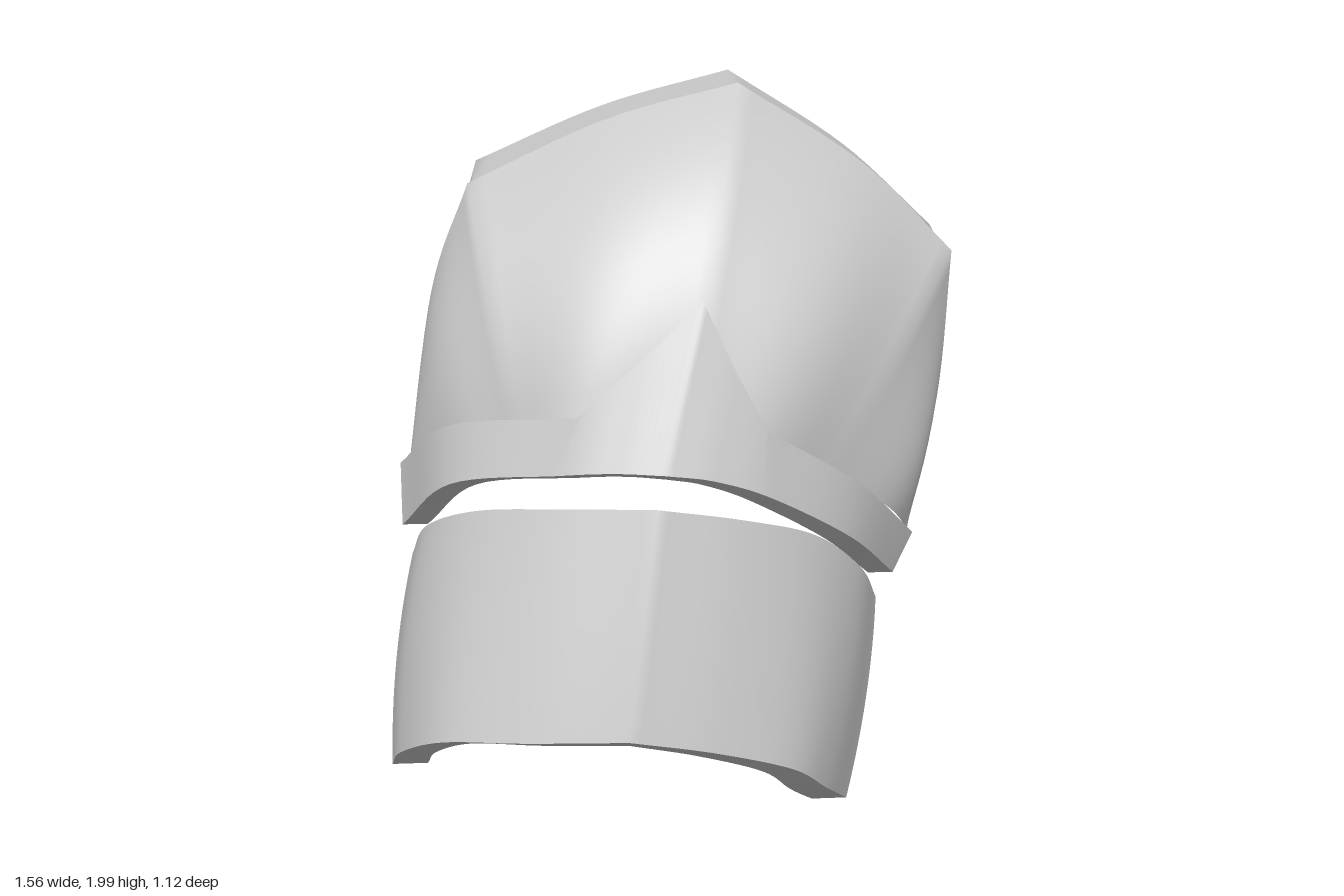
import * as THREE from 'three';

const STEPS = 8; // subdivisions between neighbouring key points
const material = new THREE.MeshStandardMaterial({ color: 0xcccccc, side: THREE.DoubleSide });
const v = ([x, y, z]) => new THREE.Vector3(x, y, z);

// Smooth line through key points, broken into separate arcs at the crease indices
function trace(keys, creases) {
  const stops = [0, ...creases, keys.length - 1];
  const out = [v(keys[0])];
  for (let s = 0; s < stops.length - 1; s++) {
    const arc = keys.slice(stops[s], stops[s + 1] + 1).map(v);
    const curve = new THREE.CatmullRomCurve3(arc, false, 'catmullrom', 0.5);
    const n = (arc.length - 1) * STEPS;
    for (let i = 1; i <= n; i++) out.push(curve.getPoint(i / n));
  }
  return out;
}

// Surface through equally long rows of points, first row on top
function sheet(rows) {
  const w = rows[0].length, index = [];
  for (let r = 0; r < rows.length - 1; r++)
    for (let c = 0; c < w - 1; c++) {
      const a = r * w + c, b = a + w;
      index.push(a, b, a + 1, a + 1, b, b + 1);
    }
  const g = new THREE.BufferGeometry();
  g.setAttribute('position', new THREE.Float32BufferAttribute(rows.flat().flatMap(p => [p.x, p.y, p.z]), 3));
  g.setIndex(index);
  g.computeVertexNormals();
  return g;
}

function part(name, geometries) {
  const group = new THREE.Group();
  group.name = name;
  for (const g of geometries) group.add(new THREE.Mesh(g, material));
  return group;
}

// Rows between top and bottom through a middle row, curved as a parabola
function loft(top, middle, bottom, n = 12) {
  return Array.from({ length: n + 1 }, (_, i) => {
    const t = i / n;
    return top.map((p, c) => new THREE.Vector3()
      .addScaledVector(p, (1 - t) * (1 - 2 * t))
      .addScaledVector(middle[c], 4 * t * (1 - t))
      .addScaledVector(bottom[c], t * (2 * t - 1)));
  });
}

// Angle of a column around the wrapped plates, -90 to 90 degrees
const wrapAngle = (c, row) => (c / (row.length - 1) * 2 - 1) * Math.PI / 2;

// Wrapped plate with thickness: outer and inner skins, two edges, two ends
function plate(name, rows, thickTop, thickBottom, drop) {
  const last = rows.length - 1, end = rows[0].length - 1;
  const inner = rows.map((row, r) => row.map((p, c) => {
    const a = wrapAngle(c, row);
    const thick = THREE.MathUtils.lerp(thickTop, thickBottom, r / last);
    return p.clone().add(v([-Math.sin(a), -drop * Math.cos(a), -0.9 * Math.cos(a)]).multiplyScalar(thick));
  }));
  const column = (grid, c) => grid.map(row => row[c]);
  return part(name, [
    sheet(rows),
    sheet([...inner].reverse()),
    sheet([inner[0], rows[0]]),
    sheet([rows[last], inner[last]]),
    sheet([column(rows, 0), column(inner, 0)]),
    sheet([column(inner, end), column(rows, end)]),
  ]);
}

// Halfway row, pushed slightly out at the sides and back at the two ends
const bulgedRow = (a, b) => a.map((p, c) => {
  const s = Math.sin(wrapAngle(c, a));
  return p.clone().lerp(b[c], 0.5).add(v([0.018 * s, 0, 0.004 - 0.016 * s ** 4]));
});

export function createModel() {
  const model = new THREE.Group();
  const corners = [2, 4, 6];

  // Back block: hollow five-sided shell, open towards the dome and below
  const front = trace([[-.66, 1.1, -.24], [-.6, 1.44, -.28], [-.49, 1.73, -.3], [-.14, 1.89, -.285], [.2, 1.985, -.27],
    [.52, 1.78, -.26], [.765, 1.54, -.255], [.75, 1.25, -.22], [.7, 1.0, -.19]], corners);
  const back = trace([[-.65, 1.01, -.55], [-.59, 1.4, -.56], [-.49, 1.73, -.56], [-.14, 1.88, -.55], [.2, 1.975, -.535],
    [.52, 1.77, -.525], [.775, 1.54, -.52], [.745, 1.2, -.53], [.69, .87, -.515]], corners);
  const backLoop = [...back, back[0]].reverse();
  model.add(part('backBlock', [
    sheet([back, front]),
    sheet([backLoop, backLoop.map(() => v([.05, 1.43, -.55]))]),
  ]));

  // Dome: rim, middle and lower section
  const rim = trace([[-.7, .93, -.2], [-.61, 1.45, -.27], [-.5, 1.74, -.295], [-.14, 1.905, -.28], [.2, 2, -.26],
    [.53, 1.79, -.25], [.78, 1.55, -.245], [.76, 1.15, -.2], [.69, .78, -.15]], corners);
  const middle = trace([[-.705, .925, -.195], [-.6, 1.33, -.1], [-.45, 1.54, -.01], [-.16, 1.66, .06], [.14, 1.775, .03],
    [.41, 1.56, .065], [.6, 1.34, 0], [.695, 1.05, -.065], [.69, .775, -.145]], corners);
  const lower = trace([[-.71, .92, -.19], [-.55, 1.17, .03], [-.39, 1.25, .155], [-.22, 1.29, .25], [.08, 1.45, .215],
    [.24, 1.24, .25], [.42, 1.1, .15], [.6, .92, .02], [.69, .77, -.14]], corners);
  model.add(part('dome', [sheet(loft(rim, middle, lower))]));

  // Brow band with a pointed crest
  const bandTop = trace([[-.715, .99, -.19], [-.56, 1.2, .045], [-.23, 1.31, .27], [-.08, 1.44, .25], [.08, 1.58, .21],
    [.16, 1.41, .25], [.24, 1.26, .27], [.5, 1.04, .115], [.7, .77, -.12]], corners);
  const bandBottom = trace([[-.72, .81, -.17], [-.56, 1.06, .1], [-.28, 1.17, .3], [-.14, 1.2, .36], [-.02, 1.21, .4],
    [.1, 1.18, .375], [.25, 1.1, .315], [.48, .9, .15], [.65, .65, -.11]], [4]);
  model.add(plate('browBand', [bandTop, bandBottom], .045, .07, .55));

  // Face guard, folded along the centre
  const guardTop = trace([[-.7, .71, -.19], [-.64, .88, -.02], [-.5, 1.0, .14], [-.3, 1.07, .28], [-.04, 1.11, .38],
    [.18, 1.04, .31], [.38, .93, .19], [.53, .75, .04], [.61, .56, -.13]], [4]);
  const guardBottom = trace([[-.78, .13, 0], [-.73, .3, .19], [-.6, .45, .37], [-.38, .52, .49], [-.12, .56, .56],
    [.1, .485, .51], [.31, .365, .42], [.42, .21, .29], [.52, .01, .07]], [4]);
  model.add(plate('faceGuard', loft(guardTop, bulgedRow(guardTop, guardBottom), guardBottom), .1, .1, .7));

  return model;
}
